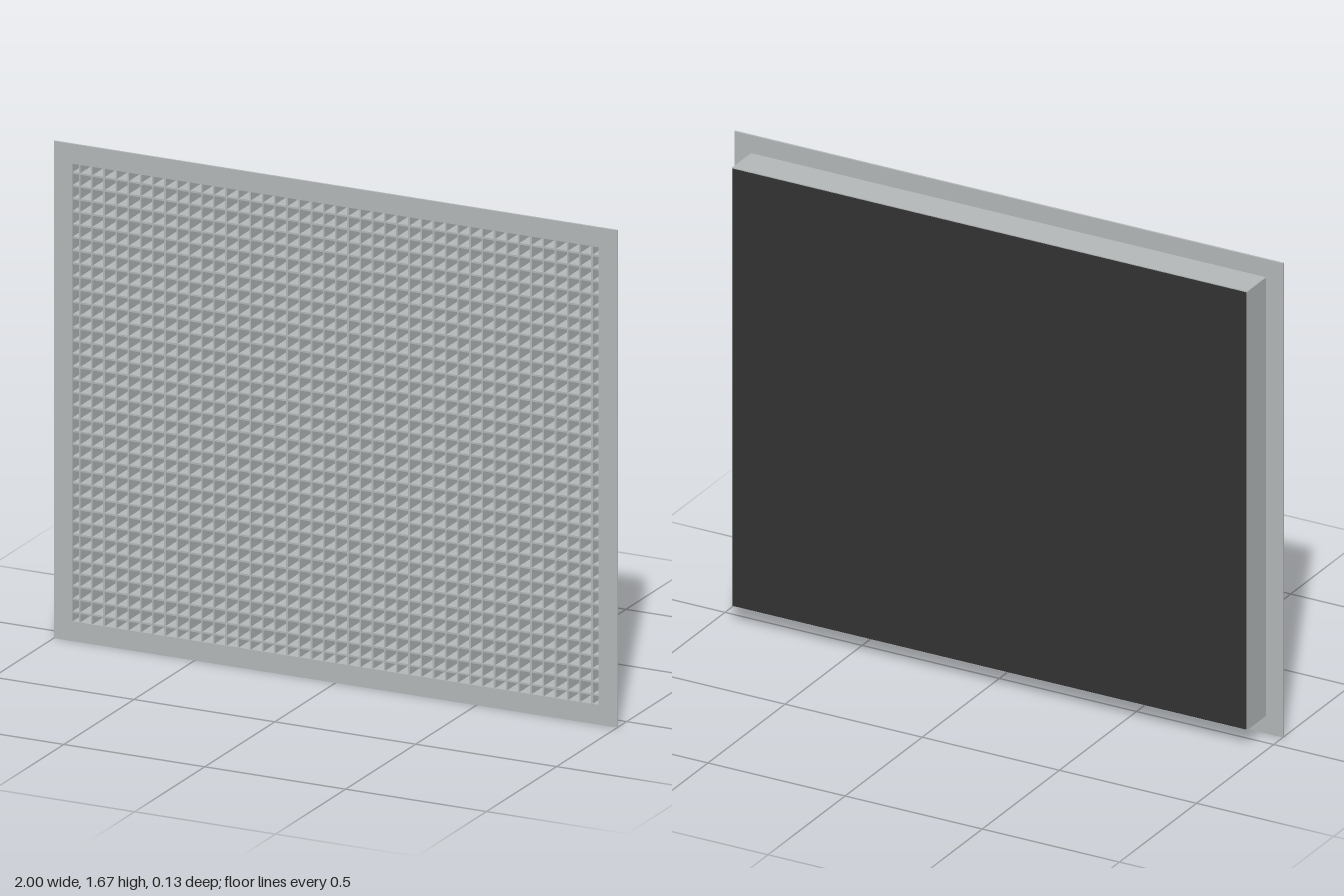
import * as THREE from 'three';

export function createModel() {
  const grey = new THREE.MeshStandardMaterial({ color: 0xb5b9b9 });
  grey.name = 'grey painted metal';
  const black = new THREE.MeshStandardMaterial({ color: 0x333333 });
  black.name = 'black backing';

  const group = new THREE.Group();
  group.name = 'eggCrateGrille';

  const H = 1.667, midY = H / 2;   // overall height and centre
  const openX = 0.933, openY = 0.767; // half size of the opening
  const front = 0.0667;

  const add = (name, geometry, material, x, y, z, parent = group) => {
    const mesh = new THREE.Mesh(geometry, material);
    mesh.name = name;
    mesh.position.set(x, y, z);
    parent.add(mesh);
    return mesh;
  };

  // Rectangular ring around the opening, extruded along z
  const ring = (halfX, halfY, depth) => {
    const shape = new THREE.Shape([
      new THREE.Vector2(-halfX, -halfY), new THREE.Vector2(halfX, -halfY),
      new THREE.Vector2(halfX, halfY), new THREE.Vector2(-halfX, halfY),
    ]);
    shape.holes.push(new THREE.Path([
      new THREE.Vector2(-openX, -openY), new THREE.Vector2(-openX, openY),
      new THREE.Vector2(openX, openY), new THREE.Vector2(openX, -openY),
    ]));
    return new THREE.ExtrudeGeometry(shape, { depth, bevelEnabled: false });
  };

  // Thin front flange and the shallow casing behind it
  const flangeT = 0.0067;
  add('frontFlange', ring(1, midY, flangeT), grey, 0, midY, front - flangeT);
  const casingBack = -0.0627;
  add('casingWalls', ring(0.939, 0.771, front - flangeT - casingBack), grey, 0, midY, casingBack);

  // Closed casing floor and dark sheet on its rear
  add('casingFloor', new THREE.BoxGeometry(openX * 2, openY * 2, 0.004), grey, 0, midY, casingBack + 0.002);
  add('rearSheet', new THREE.BoxGeometry(1.872, 1.536, 0.004), black, 0, midY, casingBack - 0.002);

  // Crossed bars, spaced evenly from the centre
  const grid = new THREE.Group();
  grid.name = 'grilleBars';
  group.add(grid);
  const pitch = 0.0433, barT = 0.006, barFront = front - 0.002;
  const barDepth = barFront - casingBack - 0.004, barZ = barFront - barDepth / 2;
  const upright = new THREE.BoxGeometry(barT, openY * 2, barDepth);
  const crossbar = new THREE.BoxGeometry(openX * 2, barT, barDepth);
  for (let i = -21; i <= 21; i++) add('verticalBar', upright, grey, i * pitch, midY, barZ, grid);
  for (let j = -17; j <= 17; j++) add('horizontalBar', crossbar, grey, 0, midY + j * pitch, barZ, grid);

  return group;
}
